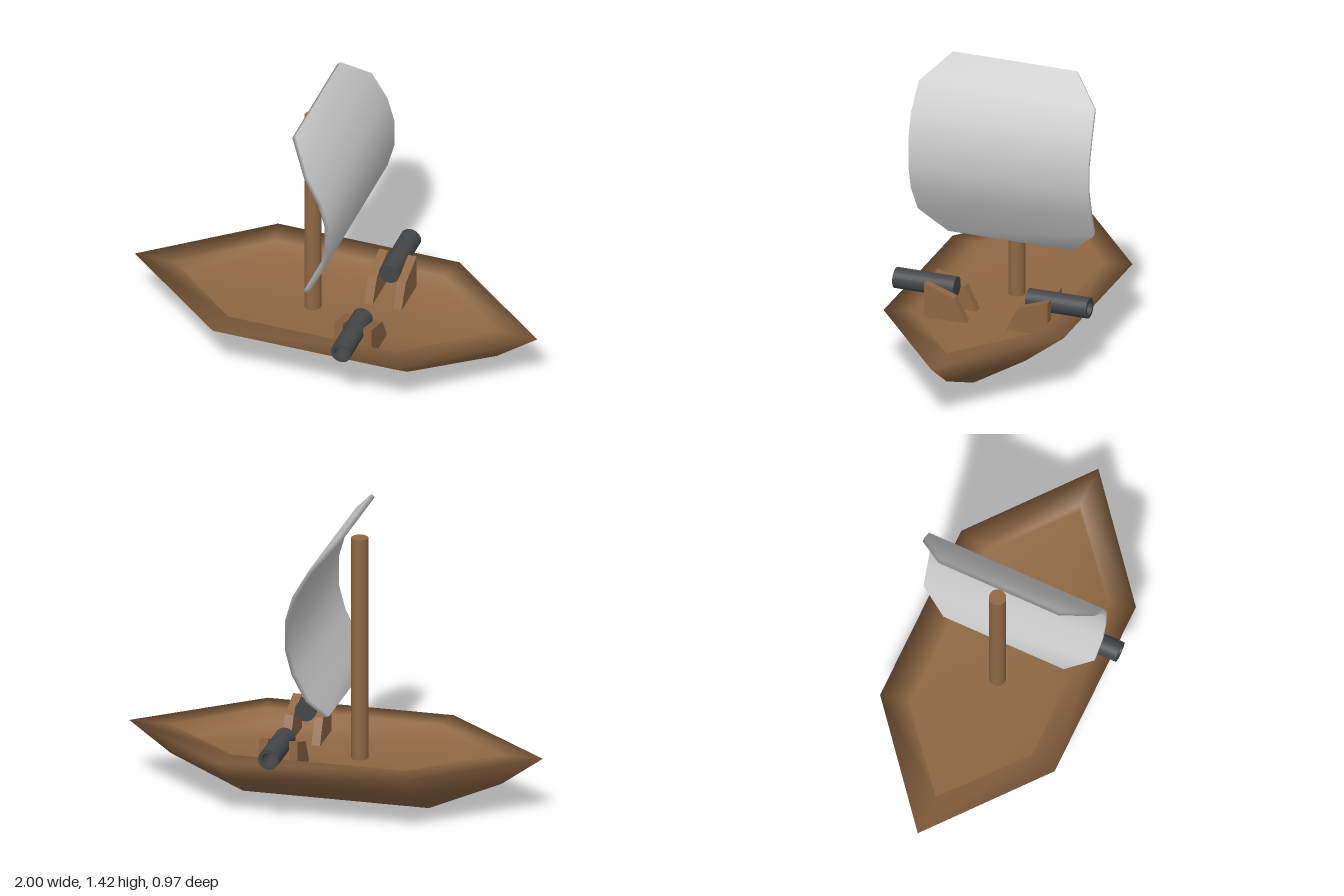
import * as THREE from 'three';
import { mergeVertices } from 'three/addons/utils/BufferGeometryUtils.js';

const wood = new THREE.MeshStandardMaterial({ color: 0x8f6743 });
const iron = new THREE.MeshStandardMaterial({ color: 0x444648 });
const cloth = new THREE.MeshStandardMaterial({ color: 0xcccccc });

// Smooth skin over a stack of rings; the ends can be capped
function skin(rings, capStart, capEnd) {
  const n = rings[0].length;
  const index = [];
  for (let r = 0; r < rings.length - 1; r++) {
    for (let i = 0; i < n; i++) {
      const j = (i + 1) % n;
      const a = r * n, b = a + n;
      index.push(a + i, b + i, a + j, a + j, b + i, b + j);
    }
  }
  const last = (rings.length - 1) * n;
  for (let i = 1; i < n - 1; i++) {
    if (capStart) index.push(0, i, i + 1);
    if (capEnd) index.push(last, last + i + 1, last + i);
  }
  const geometry = new THREE.BufferGeometry();
  geometry.setAttribute('position', new THREE.Float32BufferAttribute(rings.flat(2), 3));
  geometry.setIndex(index);
  const merged = mergeVertices(geometry, 1e-4);
  merged.computeVertexNormals();
  return merged;
}

function addMesh(parent, name, geometry, material) {
  const mesh = new THREE.Mesh(geometry, material);
  mesh.name = name;
  parent.add(mesh);
  return mesh;
}

// Pointed six-sided outline: tip distance, shoulder x, half width, height
const outline = (tip, sx, w, y) => [
  [tip, y, 0], [sx, y, w], [-sx, y, w], [-tip, y, 0], [-sx, y, -w], [sx, y, -w],
];

function hullGeometry() {
  return skin([
    outline(0.45, 0.45, 0, 0), // keel
    outline(0.8, 0.45, 0.26, 0.155), // bilge
    outline(1, 0.45, 0.45, 0.3), // outer rim
    outline(0.8, 0.42, 0.32, 0.3), // inner rim
    outline(0.8, 0.42, 0.32, 0.22), // deck
  ], false, true);
}

function sailGeometry() {
  // x, y, half width of each row from foot to head
  const rows = [
    [-0.04, 0.53, 0.31], [0.02, 0.65, 0.44], [0.085, 0.78, 0.45], [0.117, 0.9, 0.45],
    [0.117, 1.04, 0.45], [0.083, 1.16, 0.45], [0.01, 1.29, 0.44], [-0.097, 1.415, 0.31],
  ];
  const half = 0.011;
  const rings = rows.map(([x, y, w], i) => {
    const p = rows[Math.max(i - 1, 0)];
    const q = rows[Math.min(i + 1, rows.length - 1)];
    const t = new THREE.Vector2(q[0] - p[0], q[1] - p[1]).normalize().multiplyScalar(half);
    const front = [x + t.y, y - t.x], back = [x - t.y, y + t.x];
    return [[...front, -w], [...front, w], [...back, w], [...back, -w]];
  });
  return skin(rings, true, true);
}

// Barrel with a bore, lying along +z
function barrelGeometry() {
  const profile = [
    [0, 0], [0.05, 0], [0.05, 0], [0.05, 0.305], [0.05, 0.305],
    [0.034, 0.305], [0.034, 0.305], [0.034, 0.12], [0.034, 0.12], [0, 0.12],
  ].map(([r, h]) => new THREE.Vector2(r, h));
  // each straight run is its own lathe segment so edges stay sharp
  const group = [];
  for (let i = 0; i < profile.length - 1; i++) {
    if (profile[i].equals(profile[i + 1])) continue;
    group.push(new THREE.LatheGeometry([profile[i], profile[i + 1]], 24).rotateX(Math.PI / 2));
  }
  return group;
}

// Carriage cheek: profile in z and y, extruded along x
function cheekGeometry(side) {
  const shape = new THREE.Shape(
    [[0.1, 0.22], [0.31, 0.22], [0.31, 0.39], [0.16, 0.338], [0.14, 0.3]]
      .map(([z, y]) => new THREE.Vector2(-z * side, y)));
  return new THREE.ExtrudeGeometry(shape, { depth: 0.042, bevelEnabled: false })
    .rotateY(Math.PI / 2);
}

export function createModel() {
  const model = new THREE.Group();
  model.name = 'sailboat';

  addMesh(model, 'hull', hullGeometry(), wood);
  addMesh(model, 'mast', new THREE.CylinderGeometry(0.04, 0.04, 1.1, 24), wood)
    .position.set(-0.115, 0.77, 0);
  addMesh(model, 'sail', sailGeometry(), cloth);

  // A cannon on each side, muzzle outward
  for (const side of [1, -1]) {
    const cannon = new THREE.Group();
    cannon.name = side > 0 ? 'frontCannon' : 'backCannon';
    const barrel = new THREE.Group();
    barrel.name = 'barrel';
    for (const g of barrelGeometry()) addMesh(barrel, 'barrelSurface', g, iron);
    barrel.position.set(0.198, 0.355, 0.18 * side);
    if (side < 0) barrel.rotation.y = Math.PI;
    cannon.add(barrel);
    for (const x of [0.104, 0.247]) {
      addMesh(cannon, 'carriageCheek', cheekGeometry(side), wood).position.x = x;
    }
    model.add(cannon);
  }
  return model;
}
